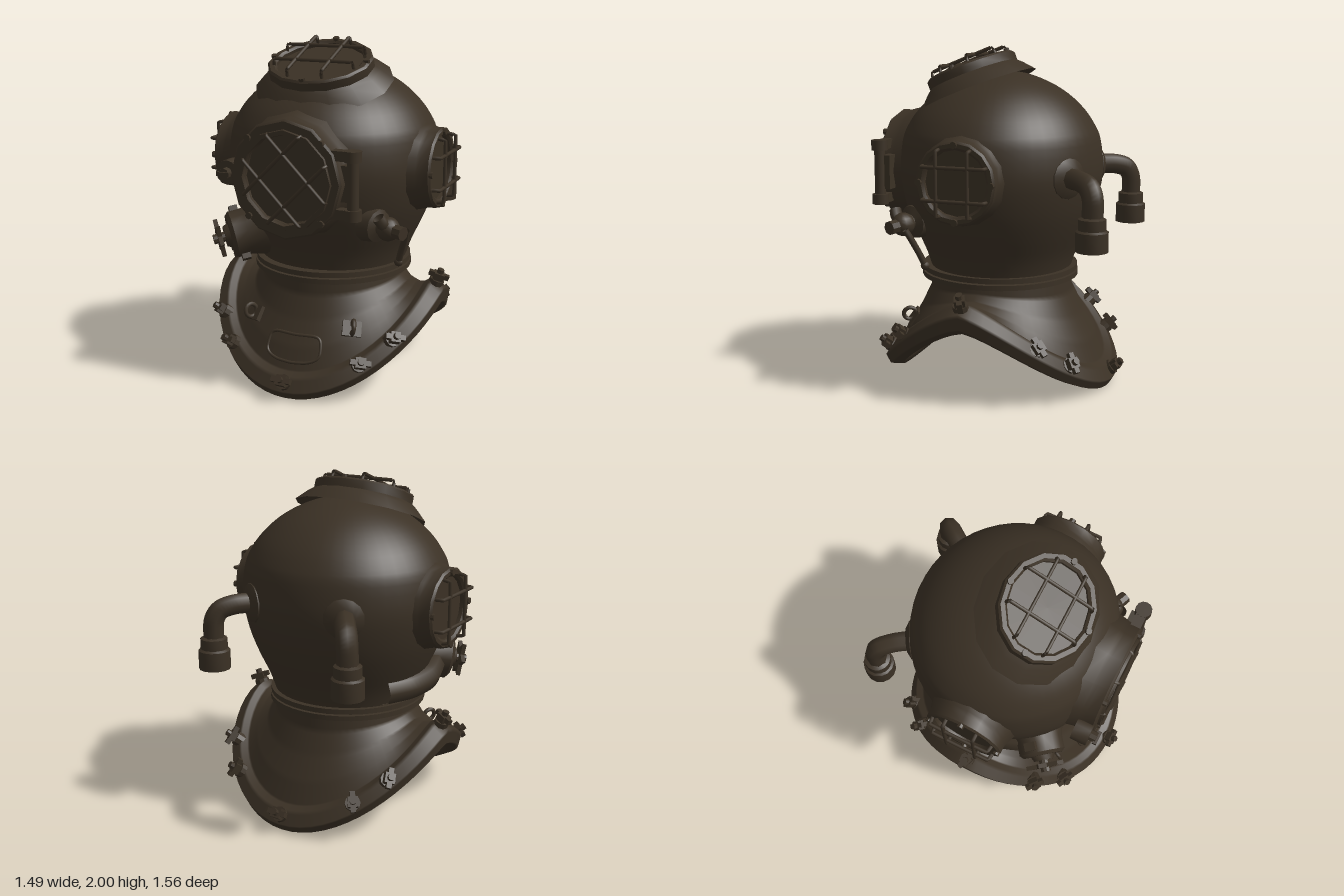
import * as THREE from 'three';
import { toCreasedNormals } from 'three/addons/utils/BufferGeometryUtils.js';
import { ParametricGeometry } from 'three/addons/geometries/ParametricGeometry.js';

const bronze = new THREE.MeshStandardMaterial({ color: 0x3b3125, side: THREE.DoubleSide });
bronze.name = 'aged bronze';
const V = (x, y, z) => new THREE.Vector3(x, y, z);
const Z = V(0, 0, 1);

function add(parent, name, geo, x = 0, y = 0, z = 0) {
  const m = new THREE.Mesh(geo, bronze);
  m.name = name;
  m.position.set(x, y, z);
  parent.add(m);
  return m;
}
// Group whose local +z points along dir
function mount(parent, name, pos, dir) {
  const g = new THREE.Group();
  g.name = name;
  g.position.copy(pos);
  g.quaternion.setFromUnitVectors(Z, dir.clone().normalize());
  parent.add(g);
  return g;
}
// Turned shape around local z, from [radius, height] pairs
const turned = (pts, seg = 16) => toCreasedNormals(
  new THREE.LatheGeometry(pts.map(p => new THREE.Vector2(p[0], p[1])), seg).rotateX(Math.PI / 2), 0.6);
const disc = (r, z0, z1, seg = 16) => turned([[0, z0], [r, z0], [r, z1], [0, z1]], seg);
const tube = (pts, r, closed = false, n = 24) =>
  new THREE.TubeGeometry(new THREE.CatmullRomCurve3(pts, closed, 'catmullrom', 0.4), n, r, 8, closed);

// Collar cross-section [radius, height] at the front/back and at the shoulders
const FRONT = [[.42, .66], [.43, .56], [.49, .43], [.57, .29], [.63, .15], [.68, .13], [.72, .05],
  [.69, 0], [.61, 0], [.55, .15], [.45, .38], [.40, .55], [.39, .66]];
const SIDE = [[.42, .66], [.43, .60], [.47, .565], [.53, .56], [.585, .57], [.63, .60], [.71, .55],
  [.70, .46], [.64, .42], [.57, .46], [.48, .51], [.41, .56], [.39, .66]];
function collarPoint(angle, k, out = V(0, 0, 0)) {
  const s = 1 - Math.pow(Math.abs(Math.cos(angle)), 1.4);
  const i = Math.min(Math.floor(k), FRONT.length - 2), f = k - i;
  const at = c => THREE.MathUtils.lerp(
    THREE.MathUtils.lerp(FRONT[i][c], FRONT[i + 1][c], f),
    THREE.MathUtils.lerp(SIDE[i][c], SIDE[i + 1][c], f), s);
  const r = at(0);
  return out.set(r * Math.sin(angle), at(1), r * Math.cos(angle));
}

// Window: flared ring, recessed glass, guard bars and screws; face at local z = 0
function addPort(g, { R, hole, depth, flare, recess, seg, barAt, barLen, barH, screwR, screwTurn, barTurn = 0 }) {
  add(g, 'portRing', turned([[R + flare, -depth], [R + flare * .3, -depth * .55], [R, -depth * .4], [R, -.012],
    [R - .012, 0], [hole + .015, 0], [hole, -.012], [hole, -recess]], seg));
  add(g, 'portGlass', disc(hole + .005, -recess - .005, -recess, seg));
  const guard = new THREE.Group();
  guard.name = 'portGuard';
  guard.rotation.z = barTurn;
  g.add(guard);
  for (const side of [-1, 1]) for (const turn of [0, Math.PI / 2]) {
    const o = side * barAt, L = barLen;
    add(guard, 'guardBar', tube([V(-L, o, -.01), V(-L * .96, o, barH * .8), V(-L * .85, o, barH),
      V(L * .85, o, barH), V(L * .96, o, barH * .8), V(L, o, -.01)], .011)).rotation.z = turn;
  }
  for (let i = 0; i < 4; i++) {
    const a = screwTurn + i * Math.PI / 2;
    add(g, 'portScrew', disc(.02, -.01, .014, 8), screwR * Math.cos(a), screwR * Math.sin(a), 0);
  }
}

export function createModel() {
  const model = new THREE.Group();
  model.name = 'divingHelmet';

  // Dome
  const profile = [[.43, .64], [.445, .7], [.48, .8], [.545, .94], [.6, 1.09], [.632, 1.27], [.613, 1.45],
    [.575, 1.54], [.51, 1.63], [.41, 1.72], [.29, 1.79], [.15, 1.84], [0, 1.86]];
  const curve = new THREE.SplineCurve(profile.map(p => new THREE.Vector2(p[0], p[1])));
  add(model, 'dome', new THREE.LatheGeometry(curve.getPoints(36), 48)).scale.z = .96;

  // Neck flanges
  for (const [y, h, r] of [[.685, .03, .47], [.647, .03, .475]]) {
    add(model, 'neckFlange', new THREE.CylinderGeometry(r, r, h, 40, 1), 0, y, .01);
  }

  // Breastplate collar
  add(model, 'collar', new ParametricGeometry((u, v, t) => collarPoint(-u * Math.PI * 2, v * 12, t), 64, 48));

  // Collar wing nuts
  const angles = [0, 36, 53, 90, 127, 144, 180, 216, 233, 270, 307, 324];
  for (const deg of angles) {
    const a = deg * Math.PI / 180;
    const tilt = Math.abs(Math.sin(a)) > .95 ? [.35, .9] : [.8, .6];
    const nut = mount(model, 'collarNut', collarPoint(a, 5.4),
      V(Math.sin(a) * tilt[0], tilt[1], Math.cos(a) * tilt[0]));
    add(nut, 'nutWasher', disc(.045, -.03, .018, 10));
    add(nut, 'nutBlock', new THREE.BoxGeometry(.06, .06, .05), 0, 0, .035);
    add(nut, 'nutWings', new THREE.BoxGeometry(.12, .03, .03), 0, 0, .045);
    add(nut, 'nutStud', disc(.02, .05, .085, 8));
  }

  // Chest eyelets
  for (const s of [-1, 1]) {
    const eye = mount(model, 'chestEyelet', collarPoint(s * .61, 2.75), V(s * .5, .6, .7));
    add(eye, 'eyeletPlate', new THREE.BoxGeometry(.11, .09, .03));
    add(eye, 'eyeletRing', new THREE.TorusGeometry(.038, .013, 8, 16), 0, 0, .04).rotation.y = Math.PI / 2;
  }

  // Raised plaque border, laid on the collar
  const border = [];
  for (let i = 0; i < 32; i++) {
    const t = i / 32 * Math.PI * 2, c = Math.cos(t), s = Math.sin(t);
    const e = p => Math.sign(p) * Math.pow(Math.abs(p), .5);
    border.push(collarPoint(e(c) * .29, 3.2 - e(s) * .52));
  }
  add(model, 'plaqueBorder', tube(border, .009, true, 64));

  // Front door
  const front = mount(model, 'frontPort', V(0, 1.27, .66), Z);
  addPort(front, { R: .338, hole: .25, depth: .18, flare: .025, recess: .032, seg: 12, barAt: .105,
    barLen: .25, barH: .02, screwR: .31, screwTurn: Math.PI / 4, barTurn: Math.PI / 4 });
  add(front, 'doorRim', turned([[.285, -.01], [.28, .015], [.255, .015], [.25, -.02]], 12));
  const latch = mount(front, 'doorLatch', V(-.36, .01, 0), Z);
  add(latch, 'latchBoss', disc(.07, -.1, -.005, 12));
  add(latch, 'latchKnob', disc(.032, -.01, .035, 8));
  add(latch, 'latchWing', new THREE.BoxGeometry(.08, .022, .025), 0, 0, .035);
  const hinge = mount(front, 'doorHinge', V(.39, 0, -.04), Z);
  add(hinge, 'hingePin', new THREE.CylinderGeometry(.032, .032, .36, 12));
  for (const y of [-.16, .16]) {
    add(hinge, 'hingeKnuckle', new THREE.CylinderGeometry(.048, .048, .06, 12), 0, y, 0);
    add(hinge, 'hingeLug', new THREE.BoxGeometry(.14, .055, .06), -.075, y, 0);
  }
  add(hinge, 'hingeLeaf', new THREE.BoxGeometry(.09, .2, .05), -.04, 0, -.04);

  // Side ports
  for (const s of [-1, 1]) {
    const port = mount(model, 'sidePort', V(s * .69, 1.275, .02), V(s, 0, 0));
    addPort(port, { R: .235, hole: .185, depth: .15, flare: .03, recess: .035, seg: 16, barAt: .092,
      barLen: .185, barH: .042, screwR: .212, screwTurn: 0 });
  }

  // Top port, oval and tilted forward
  const top = mount(model, 'topPort', V(0, 1.88, .2), V(0, .93, .37));
  top.scale.y = .86;
  addPort(top, { R: .315, hole: .26, depth: .15, flare: .1, recess: .03, seg: 14, barAt: .105,
    barLen: .25, barH: .04, screwR: .288, screwTurn: 0 });

  // Rear hose elbows
  for (const s of [-1, 1]) {
    const flange = mount(model, 'elbowFlange', V(s * .31, 1.28, -.5), V(s * .5, 0, -.85));
    add(flange, 'flangeDisc', turned([[.125, -.06], [.115, .02], [.07, .045], [0, .045]], 14));
    add(model, 'elbowPipe', tube([V(s * .3, 1.28, -.48), V(s * .375, 1.28, -.59), V(s * .43, 1.255, -.66),
      V(s * .455, 1.19, -.69), V(s * .46, 1.06, -.69)], .06));
    const socket = [[.055, .93], [.075, .91], [.092, .91], [.092, 1.02], [.078, 1.03], [.078, 1.09], [.055, 1.1]];
    add(model, 'hoseSocket', toCreasedNormals(new THREE.LatheGeometry(
      socket.map(p => new THREE.Vector2(p[0], p[1])), 14), .6), s * .46, 0, -.69);
    add(model, 'socketEnd', new THREE.CylinderGeometry(.06, .06, .01, 14), s * .46, .95, -.69);
  }

  // Exhaust channel leading to the exhaust valve
  add(model, 'exhaustChannel', tube([V(-.39, .79, -.22), V(-.46, .79, -.06), V(-.48, .8, .12),
    V(-.44, .83, .27), V(-.38, .85, .36)], .085));
  const exhaust = mount(model, 'exhaustValve', V(-.43, .855, .39), V(-.75, -.2, .6));
  add(exhaust, 'valveBody', turned([[.17, -.14], [.14, -.03], [.14, .05], [.12, .07], [.075, .07], [.06, .1], [0, .1]]));
  add(exhaust, 'valveStem', disc(.03, .08, .17, 10));
  const star = new THREE.Shape();
  for (let i = 0; i < 12; i++) {
    const a = i / 12 * Math.PI * 2, r = i % 2 ? .065 : .115;
    star[i ? 'lineTo' : 'moveTo'](r * Math.cos(a), r * Math.sin(a));
  }
  add(exhaust, 'valveHandwheel', new THREE.ExtrudeGeometry(star, { depth: .025, bevelEnabled: false }), 0, 0, .12);
  add(exhaust, 'valveLug', new THREE.BoxGeometry(.07, .33, .05), 0, 0, .01).rotation.z = .6;

  // Spit cock with lever
  const cock = mount(model, 'spitCock', V(.42, 1.0, .38), V(.8, -.05, .3));
  add(cock, 'cockBase', turned([[.11, -.05], [.095, .03], [.05, .05], [.05, .14], [0, .14]], 12));
  add(cock, 'cockBody', new THREE.SphereGeometry(.068, 14, 10), 0, 0, .1);
  add(cock, 'cockCap', disc(.04, .14, .21, 8));
  add(model, 'cockSpout', tube([V(.5, 1.0, .42), V(.5, 1.03, .46), V(.48, 1.07, .48)], .035));
  add(model, 'cockLever', tube([V(.6, .98, .36), V(.585, .93, .335), V(.55, .84, .3), V(.525, .765, .275)], .019));
  add(model, 'leverTip', new THREE.SphereGeometry(.026, 10, 8), .525, .765, .275);

  return model;
}
